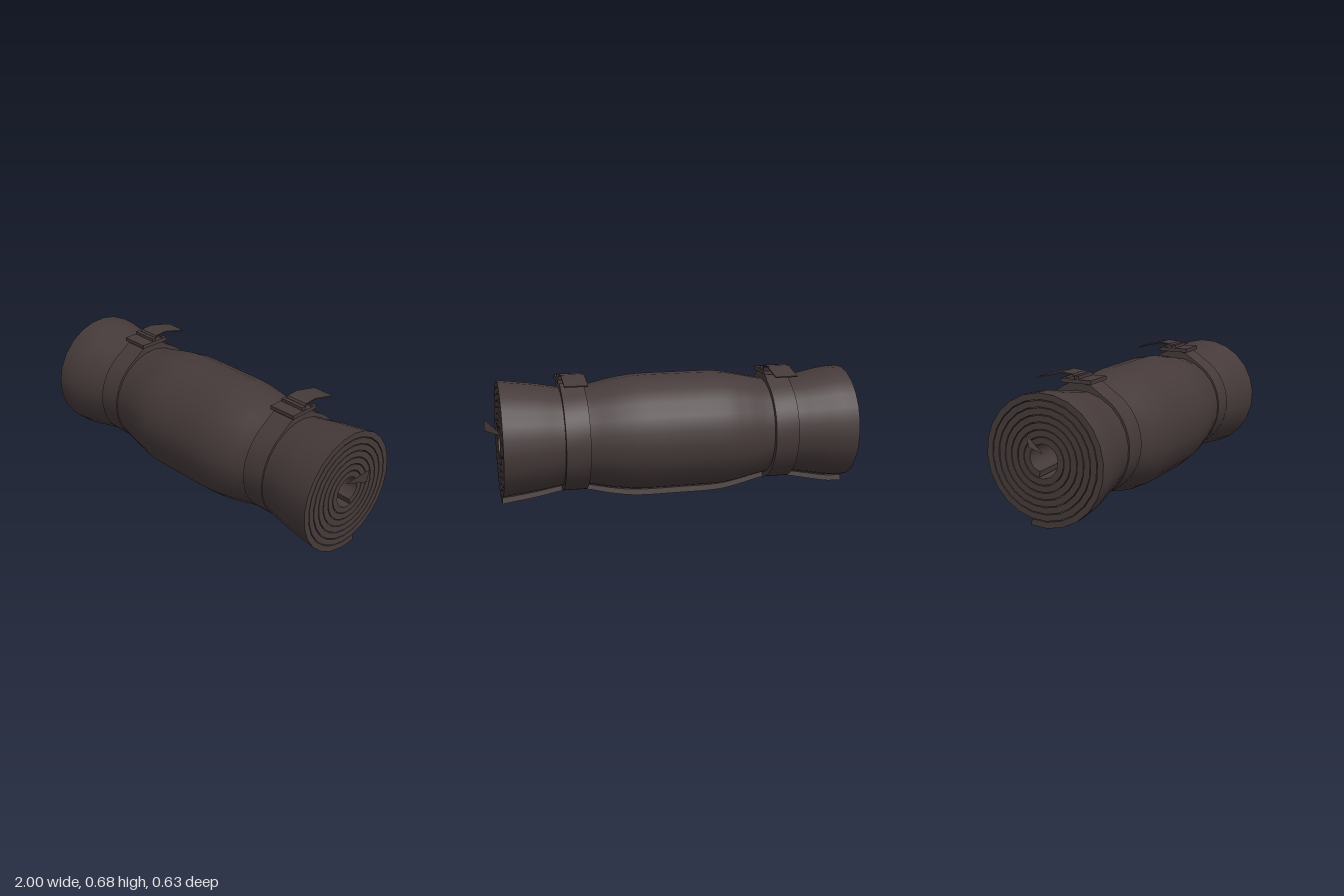
import * as THREE from 'three';
import { ParametricGeometry } from 'three/addons/geometries/ParametricGeometry.js';
import { toCreasedNormals } from 'three/addons/utils/BufferGeometryUtils.js';

const CY = 0.335, CZ = -0.006;               // axis of the roll
const START = -0.21, TURNS = 7, PITCH = 0.035, THICK = 0.031;

// Radius scale along the length: pinched under the two straps
const profile = new THREE.SplineCurve([
  [-0.95, 0.985], [-0.86, 0.975], [-0.73, 0.9], [-0.62, 0.84], [-0.5, 0.835], [-0.34, 0.94], [-0.22, 0.995],
  [0, 1], [0.2, 0.995], [0.34, 0.94], [0.5, 0.835], [0.61, 0.84], [0.74, 0.91], [0.925, 0.985],
].map(([x, s]) => new THREE.Vector2(x, s)));

// Point on the rolled sheet: a along the spiral, l along the length, d from inner (0) to outer (1) face
function sheetPoint(a, l, d, target) {
  const p = profile.getPoint(l);
  const ang = START + a * TURNS * Math.PI * 2;
  const r = (0.335 - a * TURNS * PITCH - (1 - d) * THICK) * p.y;
  target.set(p.x, CY - r * Math.cos(ang), CZ + r * Math.sin(ang));
}

// Extrudes a side outline of [z, y] points along x, centred on x = 0
function extrudeSide(points, width, hole) {
  const toVec = ([z, y]) => new THREE.Vector2(-z, y);
  const shape = new THREE.Shape(points.map(toVec));
  if (hole) shape.holes.push(new THREE.Path(hole.map(toVec)));
  const geo = new THREE.ExtrudeGeometry(shape, { depth: width, bevelEnabled: false });
  geo.translate(0, 0, -width / 2).rotateY(Math.PI / 2);
  return toCreasedNormals(geo, 0.5);
}

export function createModel() {
  const model = new THREE.Group();
  model.name = 'bedroll';
  const fabric = new THREE.MeshStandardMaterial({ color: 0x463a3a, side: THREE.DoubleSide });
  fabric.name = 'dark brown fabric';

  const add = (parent, name, geo, x = 0, y = 0, z = 0) => {
    const mesh = new THREE.Mesh(geo, fabric);
    mesh.name = name;
    mesh.position.set(x, y, z);
    parent.add(mesh);
    return mesh;
  };

  // Rolled sheet: both faces, the two spiral ends and the two free edges
  const roll = new THREE.Group();
  roll.name = 'roll';
  model.add(roll);
  const N = TURNS * 24, L = 44;
  const surface = (name, fn, nu, nv) => add(roll, name, new ParametricGeometry(fn, nu, nv));
  surface('outerFace', (u, v, t) => sheetPoint(u, 1 - v, 1, t), N, L);
  surface('innerFace', (u, v, t) => sheetPoint(u, v, 0, t), N, L);
  surface('leftEnd', (u, v, t) => sheetPoint(u, 1, v, t), N, 1);
  surface('rightEnd', (u, v, t) => sheetPoint(u, 0, 1 - v, t), N, 1);
  surface('outerEdge', (u, v, t) => sheetPoint(0, u, v, t), L, 1);
  surface('innerEdge', (u, v, t) => sheetPoint(1, u, 1 - v, t), L, 1);

  // Strap band outline, raised to a flat top under the buckle
  const outer = [], inner = [];
  for (let i = 0; i < 48; i++) {
    const a = (i / 48) * Math.PI * 2;
    const z = -0.008 + 0.281 * Math.sin(a), c = Math.cos(a);
    const lift = c > 0 ? 0.02 * THREE.MathUtils.smoothstep(0.13 - Math.abs(z), 0, 0.08) : 0;
    outer.push([z, 0.337 + 0.281 * c + lift]);
    inner.push([-0.008 + 0.255 * Math.sin(a), 0.337 + 0.255 * c]);
  }
  const band = extrudeSide(outer, 0.125, inner);
  // Loose end of the strap, bent up and over to the back
  const tail = extrudeSide([
    [-0.015, 0.652], [-0.034, 0.677], [-0.1, 0.682], [-0.236, 0.648],
    [-0.234, 0.642], [-0.1, 0.676], [-0.038, 0.671], [-0.023, 0.652],
  ], 0.12);

  for (const [name, x] of [['rightStrap', -0.555], ['leftStrap', 0.55]]) {
    const strap = new THREE.Group();
    strap.name = name;
    strap.position.x = x;
    model.add(strap);
    add(strap, 'band', band);
    add(strap, 'looseEnd', tail);
    // Buckle: frame with two crossbars
    add(strap, 'bucklePlate', new THREE.BoxGeometry(0.15, 0.02, 0.168), 0, 0.645, -0.01);
    add(strap, 'buckleBar', new THREE.BoxGeometry(0.14, 0.018, 0.022), 0, 0.662, -0.009);
    add(strap, 'rearBar', new THREE.BoxGeometry(0.14, 0.014, 0.008), 0, 0.66, -0.065);
  }

  // Pointed corners of the inner layer poking out at each end
  for (const [name, tip, root] of [['leftCorner', 1, 0.9], ['rightCorner', -1, -0.93]]) {
    const geo = new THREE.BufferGeometry();
    geo.setAttribute('position', new THREE.Float32BufferAttribute(
      [root, 0.355, -0.015, tip, 0.465, -0.06, tip, 0.4, -0.045], 3));
    geo.setIndex(tip > 0 ? [0, 2, 1] : [0, 1, 2]);
    geo.computeVertexNormals();
    add(roll, name, geo);
  }
  return model;
}
